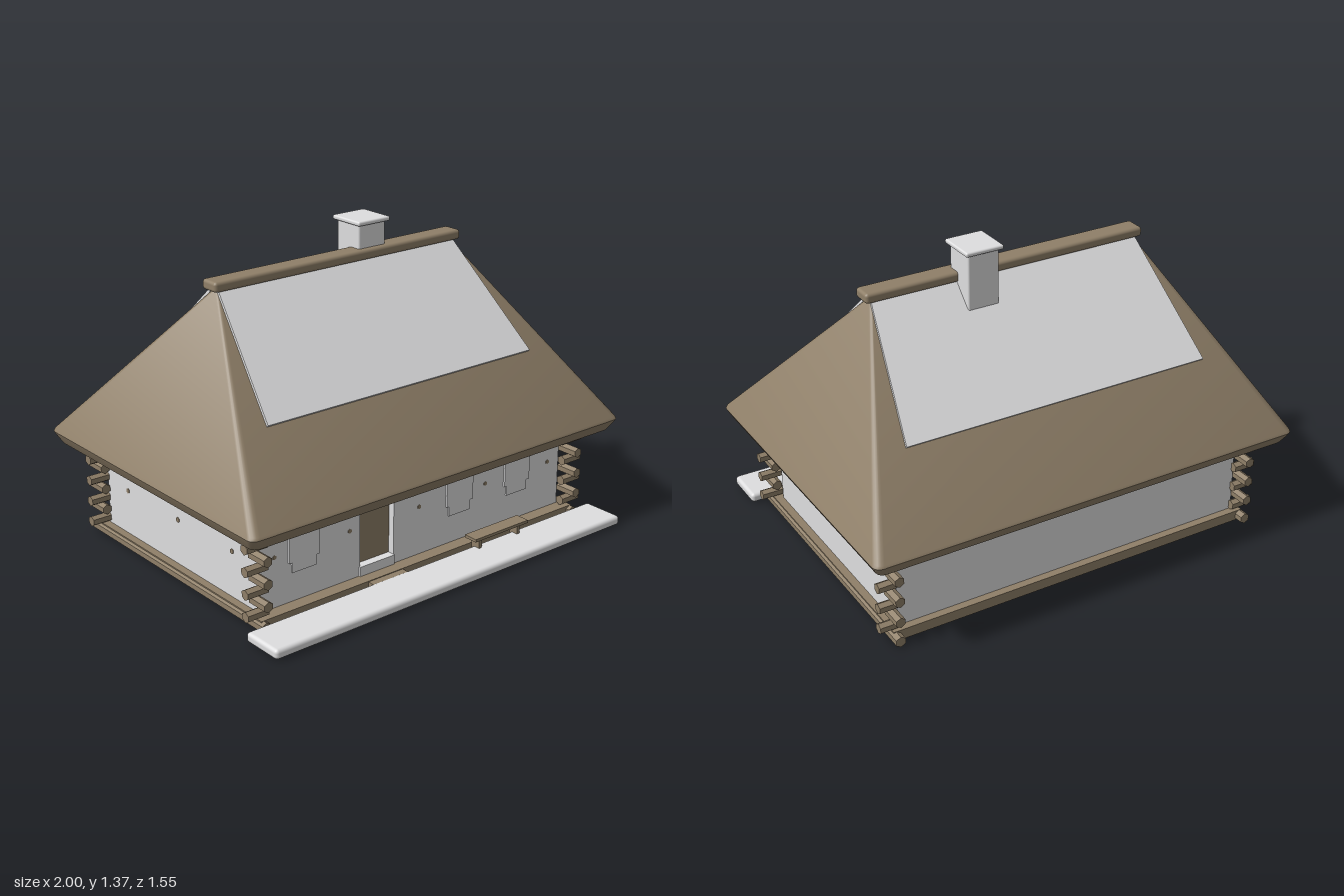
import * as THREE from 'three';
import { toCreasedNormals } from 'three/addons/utils/BufferGeometryUtils.js';
import { RoundedBoxGeometry } from 'three/addons/geometries/RoundedBoxGeometry.js';

const white = new THREE.MeshStandardMaterial({ color: 0xdededf });
white.name = 'whitewash';
const brown = new THREE.MeshStandardMaterial({ color: 0x8f7f68 });
brown.name = 'brown wood and thatch';

const CZ = -0.042; // depth centre of the roof

// Box given by its limits on each axis, optionally with rounded edges
function box(parent, name, mat, [x0, x1], [y0, y1], [z0, z1], radius = 0) {
  const w = x1 - x0, h = y1 - y0, d = z1 - z0;
  const geo = radius ? new RoundedBoxGeometry(w, h, d, 2, radius) : new THREE.BoxGeometry(w, h, d);
  const mesh = new THREE.Mesh(geo, mat);
  mesh.name = name;
  mesh.position.set((x0 + x1) / 2, (y0 + y1) / 2, (z0 + z1) / 2);
  parent.add(mesh);
  return mesh;
}

// Hexagonal log lying along x or z
function log(parent, name, axis, length, x, y, z, r = 0.023) {
  const geo = new THREE.CylinderGeometry(r, r, length, 6);
  if (axis === 'x') geo.rotateY(Math.PI / 2).rotateZ(Math.PI / 2);
  else geo.rotateX(Math.PI / 2);
  const mesh = new THREE.Mesh(toCreasedNormals(geo, 0.5), brown);
  mesh.name = name;
  mesh.position.set(x, y, z);
  parent.add(mesh);
}

// Hipped thatch: stacked rounded rectangles [half width, half depth, y, corner radius]
function roofGeometry() {
  const rings = [
    [0.955, 0.685, 0.413, 0.03], [0.972, 0.702, 0.42, 0.03], [0.996, 0.728, 0.462, 0.035],
    [1.0, 0.7325, 0.472, 0.035], [0.995, 0.728, 0.483, 0.035], [0.63, 0.015, 1.2, 0.012],
  ];
  const steps = 4, n = 4 * (steps + 1), pos = [], index = [];
  for (const [hx, hz, y, r] of rings) {
    for (let c = 0; c < 4; c++) {
      const sx = c === 0 || c === 3 ? 1 : -1, sz = c < 2 ? 1 : -1;
      for (let s = 0; s <= steps; s++) {
        const a = (c + s / steps) * Math.PI / 2;
        pos.push(sx * (hx - r) + r * Math.cos(a), y, CZ + sz * (hz - r) + r * Math.sin(a));
      }
    }
  }
  for (let k = 0; k < rings.length - 1; k++) {
    for (let i = 0; i < n; i++) {
      const j = (i + 1) % n, a = k * n + i, b = k * n + j;
      index.push(a, a + n, b, b, a + n, b + n);
    }
  }
  const top = (rings.length - 1) * n;
  for (let i = 1; i < n - 1; i++) {
    index.push(0, i, i + 1);
    index.push(top, top + i + 1, top + i);
  }
  const geo = new THREE.BufferGeometry();
  geo.setAttribute('position', new THREE.Float32BufferAttribute(pos, 3));
  geo.setIndex(index);
  return toCreasedNormals(geo, 0.6);
}

function buildRoof(house) {
  const roof = new THREE.Group();
  roof.name = 'roof';
  const thatch = new THREE.Mesh(roofGeometry(), brown);
  thatch.name = 'thatch';
  roof.add(thatch);

  // White panels on the upper front and back slopes
  const length = 0.607;
  const shape = new THREE.Shape([
    new THREE.Vector2(-0.71, -length), new THREE.Vector2(0.71, -length),
    new THREE.Vector2(0.63, 0), new THREE.Vector2(-0.63, 0),
  ]);
  const panelGeo = new THREE.ExtrudeGeometry(shape, { depth: 0.012, bevelEnabled: false });
  panelGeo.rotateX(-Math.atan2(0.713, 0.717)).translate(0, 1.2, 0.015);
  ['frontRoofPanel', 'backRoofPanel'].forEach((name, i) => {
    const panel = new THREE.Mesh(panelGeo, white);
    panel.name = name;
    panel.position.z = CZ;
    panel.rotation.y = i * Math.PI;
    roof.add(panel);
  });

  box(roof, 'ridgeCap', brown, [-0.66, 0.66], [1.2, 1.244], [-0.086, 0.008], 0.014);
  box(roof, 'chimney', white, [0.1, 0.245], [1.0, 1.35], [-0.167, -0.02], 0.008);
  box(roof, 'chimneyCap', white, [0.086, 0.26], [1.346, 1.366], [-0.182, -0.004], 0.008);
  house.add(roof);
}

function buildWalls(house) {
  const walls = new THREE.Group();
  walls.name = 'walls';
  box(walls, 'wallBody', white, [-0.83, 0.83], [0.04, 0.425], [-0.6, 0.45]);

  // Front wall with the doorway cut out
  const front = new THREE.Shape([
    [-0.83, 0.04], [0.83, 0.04], [0.83, 0.425], [-0.83, 0.425],
  ].map(([x, y]) => new THREE.Vector2(x, y)));
  front.holes.push(new THREE.Path([
    [-0.32, 0.09], [-0.32, 0.395], [-0.14, 0.395], [-0.14, 0.09],
  ].map(([x, y]) => new THREE.Vector2(x, y))));
  const frontWall = new THREE.Mesh(new THREE.ExtrudeGeometry(front, { depth: 0.045, bevelEnabled: false }), white);
  frontWall.name = 'frontWall';
  frontWall.position.z = 0.45;
  walls.add(frontWall);
  box(walls, 'door', brown, [-0.32, -0.14], [0.09, 0.395], [0.45, 0.465]);
  box(walls, 'threshold', white, [-0.325, -0.14], [0.045, 0.09], [0.49, 0.503]);

  // Shuttered windows with sills
  for (const x of [-0.612, 0.225, 0.565]) {
    box(walls, 'window', white, [x - 0.075, x + 0.075], [0.22, 0.37], [0.49, 0.504]);
    box(walls, 'windowSill', white, [x - 0.06, x + 0.06], [0.175, 0.22], [0.49, 0.502]);
  }

  // Small peg ends showing through the plaster
  for (const x of [-0.755, -0.375, 0, 0.38, 0.76]) log(walls, 'peg', 'z', 0.01, x, 0.265, 0.493, 0.01);
  for (const z of [0.32, -0.06, -0.44]) {
    for (const s of [-1, 1]) log(walls, 'peg', 'x', 0.01, s * 0.828, 0.25, z, 0.012);
  }
  house.add(walls);
}

function buildTimber(house) {
  const timber = new THREE.Group();
  timber.name = 'timber';
  box(timber, 'floor', brown, [-0.865, 0.865], [0.002, 0.048], [-0.635, 0.555]);
  for (const s of [-1, 1]) {
    log(timber, 'sillLog', 'z', 1.25, s * 0.855, 0.024, -0.05, 0.024);
    // Interlocking log ends at each corner
    for (const [wallZ, endZ] of [[0.525, 0.54], [-0.61, -0.63]]) {
      for (let i = 0; i < 4; i++) {
        log(timber, 'cornerLog', 'x', 0.1, s * 0.87, 0.072 + i * 0.096, wallZ);
        log(timber, 'cornerLog', 'z', 0.1, s * 0.855, 0.12 + i * 0.096, endZ);
      }
    }
  }
  house.add(timber);
}

function buildPorch(house) {
  const porch = new THREE.Group();
  porch.name = 'porch';
  box(porch, 'porchSlab', white, [-0.96, 0.945], [0.005, 0.048], [0.58, 0.775], 0.016);
  box(porch, 'doorstep', brown, [-0.325, -0.14], [0, 0.045], [0.5, 0.6]);
  // Bench beside the door
  box(porch, 'benchSeat', brown, [0.2, 0.51], [0.09, 0.103], [0.565, 0.632]);
  for (const x of [0.24, 0.465]) box(porch, 'benchLeg', brown, [x - 0.008, x + 0.008], [0.02, 0.092], [0.575, 0.62]);
  house.add(porch);
}

export function createModel() {
  const house = new THREE.Group();
  house.name = 'cottage';
  buildTimber(house);
  buildWalls(house);
  buildRoof(house);
  buildPorch(house);
  return house;
}
